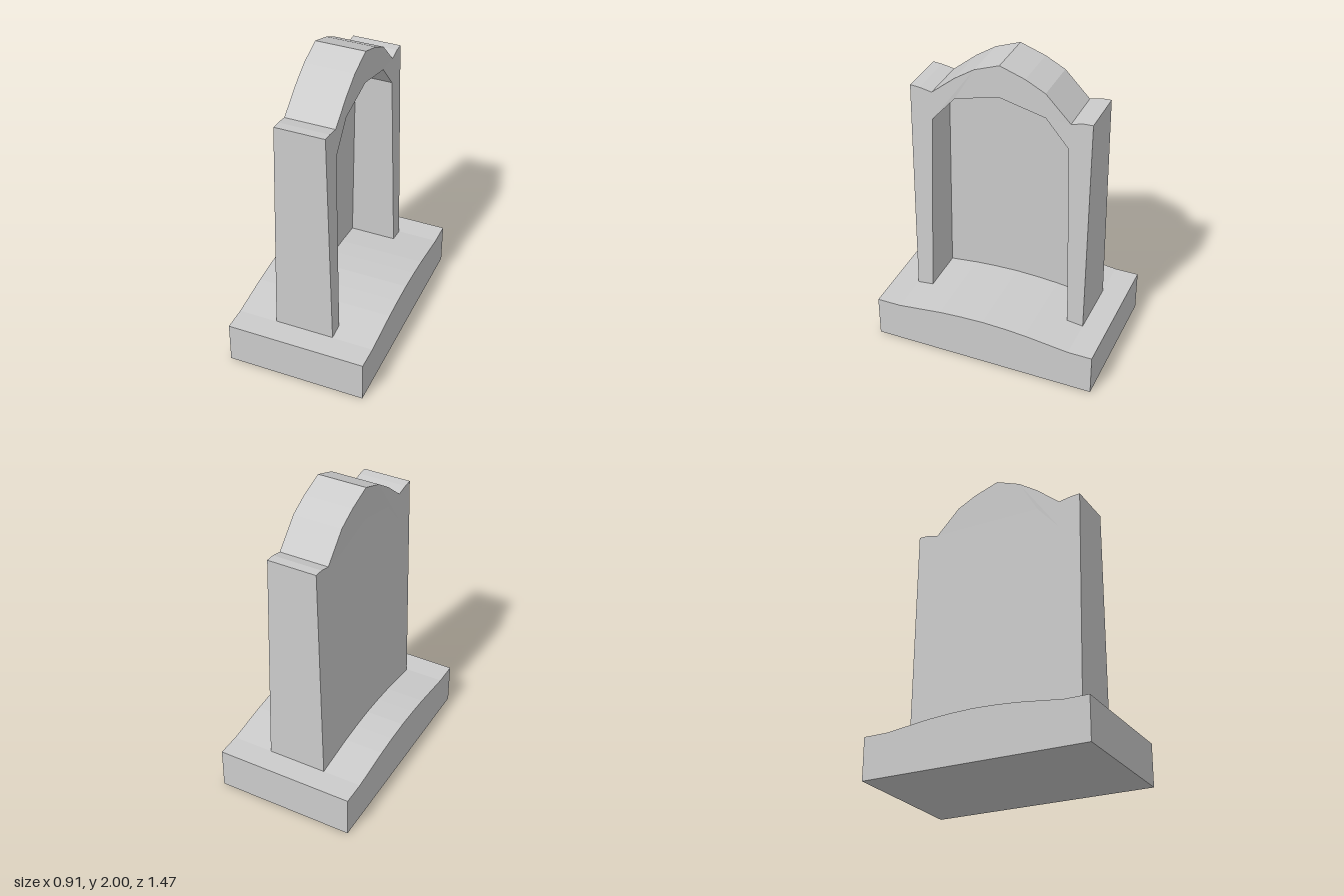
import * as THREE from 'three';

const material = new THREE.MeshStandardMaterial({ color: 0xcccccc, flatShading: true });

// Faces of the stone lean inward up to the shoulders, then rise straight
const taper = (y) => Math.min(Math.max((y - 0.275) / 1.46, -0.02), 1);
const stoneBack = (y) => -0.2 + 0.034 * taper(y);
const stoneFront = (y) => 0.185 - 0.034 * taper(y);
const recessFace = (y) => stoneBack(y) + 0.08;

// Extrudes a [z, y] outline along x between two faces given as x(y)
function slab(name, outline, back, front) {
  const shape = new THREE.Shape(outline.map(([z, y]) => new THREE.Vector2(-z, y)));
  const geometry = new THREE.ExtrudeGeometry(shape, { depth: 1, bevelEnabled: false });
  geometry.rotateY(Math.PI / 2);
  const p = geometry.attributes.position;
  for (let i = 0; i < p.count; i++) {
    const y = p.getY(i);
    p.setX(i, THREE.MathUtils.lerp(back(y), front(y), p.getX(i)));
  }
  geometry.computeVertexNormals();
  const mesh = new THREE.Mesh(geometry, material);
  mesh.name = name;
  return mesh;
}

export function createModel() {
  const group = new THREE.Group();
  group.name = 'gravestone';

  // Plinth with a gently domed top
  const plinth = [
    [0.737, 0], [0.737, 0.275], [0.58, 0.275], [0.29, 0.31], [0.15, 0.32], [0, 0.325],
    [-0.15, 0.32], [-0.29, 0.31], [-0.58, 0.275], [-0.737, 0.275], [-0.737, 0],
  ];
  group.add(slab('plinth', plinth, () => -0.455, () => 0.453));

  // Slightly uneven, worn crest with raised shoulders
  const crest = [
    [0.577, 0.26], [0.582, 1.75], [0.52, 1.745], [0.44, 1.73], [0.286, 1.857], [0.16, 1.94],
    [0, 2], [-0.16, 1.945], [-0.286, 1.88], [-0.445, 1.715], [-0.52, 1.735], [-0.58, 1.737],
    [-0.58, 0.26],
  ];
  // Arched niche, open at the bottom
  const niche = [
    [-0.475, 0.26], [-0.436, 1.548], [-0.29, 1.72], [0, 1.79], [0.288, 1.72], [0.44, 1.545],
    [0.473, 0.26],
  ];
  group.add(slab('archedFrame', [...crest, ...niche], stoneBack, stoneFront));
  group.add(slab('recessedPanel', niche, stoneBack, recessFace));

  return group;
}
